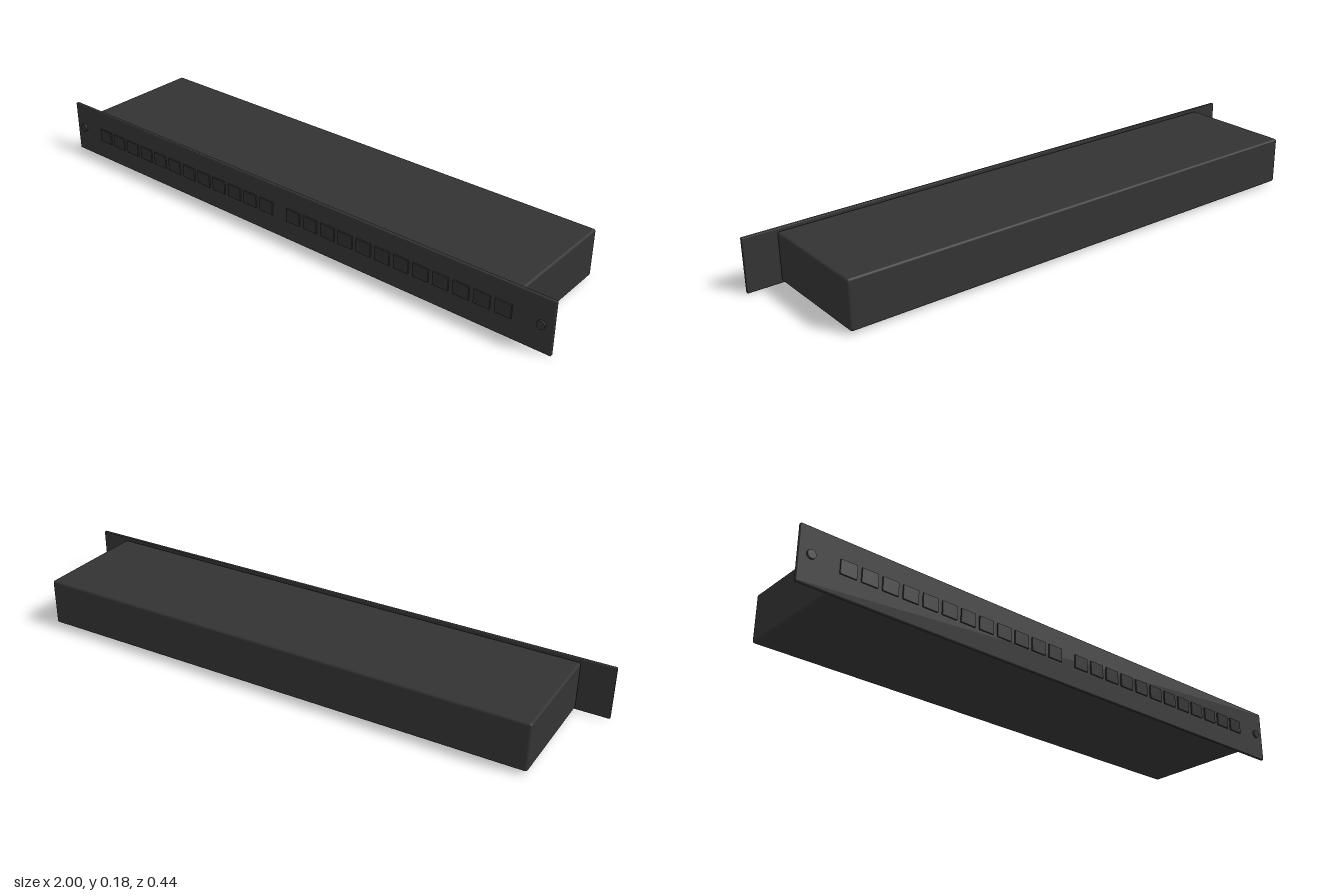
import * as THREE from 'three';
import { RoundedBoxGeometry } from 'three/addons/geometries/RoundedBoxGeometry.js';

export function createModel() {
  const model = new THREE.Group();
  model.name = 'rackPatchPanel';
  const metal = new THREE.MeshStandardMaterial({ color: 0x333333 });
  metal.name = 'charcoal metal';
  const dark = new THREE.MeshStandardMaterial({ color: 0x2e2e2e });
  dark.name = 'dark plastic';

  const add = (name, geometry, material, x, y, z) => {
    const mesh = new THREE.Mesh(geometry, material);
    mesh.name = name;
    mesh.position.set(x, y, z);
    model.add(mesh);
    return mesh;
  };

  // Enclosure and the wider faceplate standing just in front of it
  add('enclosure', new RoundedBoxGeometry(1.78, 0.164, 0.413, 3, 0.008), metal, 0, 0.092, -0.0095);
  add('faceplate', new RoundedBoxGeometry(2, 0.182, 0.012, 2, 0.003), metal, 0, 0.091, 0.206);

  // Two banks of twelve raised ports, mirrored about the middle
  const portGeometry = new THREE.BoxGeometry(0.055, 0.046, 0.007);
  for (const side of [-1, 1]) {
    for (let i = 0; i < 12; i++) {
      add('port', portGeometry, dark, side * (0.0575 + i * 0.0712), 0.093, 0.2135);
    }
  }

  // Mounting screws on the ears
  const screwGeometry = new THREE.CylinderGeometry(0.014, 0.014, 0.009, 20).rotateX(Math.PI / 2);
  for (const side of [-1, 1]) add('mountingScrew', screwGeometry, metal, side * 0.962, 0.093, 0.2145);

  return model;
}
